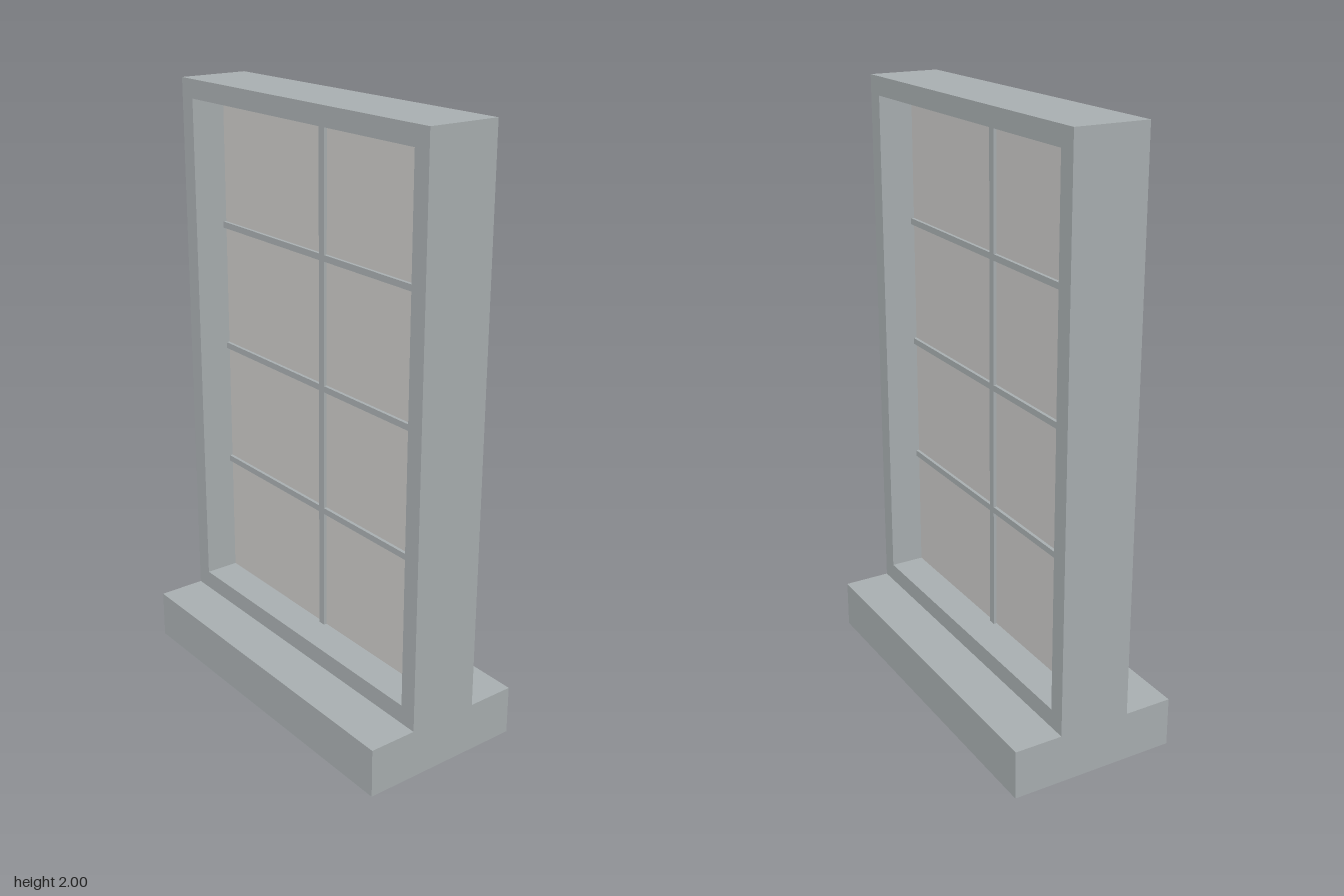
import * as THREE from 'three';

export function createModel() {
  const frameGrey = new THREE.MeshStandardMaterial({ color: 0xa8aeb0 });
  frameGrey.name = 'frame grey';
  const paneGrey = new THREE.MeshStandardMaterial({ color: 0xc9c8c6 });
  paneGrey.name = 'pane grey';

  const halfW = 0.606, sillTop = 0.165, top = 2;
  const open = { x: 0.547, bottom: 0.228, top: 1.938 };
  const openH = open.top - open.bottom;
  const midY = (open.top + open.bottom) / 2;

  const group = new THREE.Group();
  group.name = 'window';

  const add = (name, geometry, material, x, y, z, parent = group) => {
    const mesh = new THREE.Mesh(geometry, material);
    mesh.name = name;
    mesh.position.set(x, y, z);
    parent.add(mesh);
    return mesh;
  };
  const box = (w, h, d) => new THREE.BoxGeometry(w, h, d);

  // Sill, projecting on both sides of the wall
  add('sill', box(halfW * 2, sillTop, 0.566), frameGrey, 0, sillTop / 2, 0);

  // Deep outer frame with a rectangular opening
  const rect = (path, x, y0, y1) =>
    path.moveTo(-x, y0).lineTo(x, y0).lineTo(x, y1).lineTo(-x, y1).closePath();
  const outline = rect(new THREE.Shape(), halfW, sillTop, top);
  outline.holes.push(rect(new THREE.Path(), open.x, open.bottom, open.top));
  const frameDepth = 0.242;
  const frameGeometry = new THREE.ExtrudeGeometry(outline, { depth: frameDepth, bevelEnabled: false });
  add('outerFrame', frameGeometry, frameGrey, 0, 0, -frameDepth / 2);

  // Pane in the middle of the frame
  add('pane', box(open.x * 2, openH, 0.008), paneGrey, 0, midY, 0);

  // Glazing bars: one upright, three rows of crossbars meeting it
  const bars = new THREE.Group();
  bars.name = 'glazingBars';
  group.add(bars);
  const barW = 0.026, barH = 0.021, barDepth = 0.03;
  add('uprightBar', box(barW, openH, barDepth), frameGrey, 0, midY, 0, bars);
  const crossLength = open.x - barW / 2;
  for (let row = 1; row <= 3; row++) {
    for (const side of [-1, 1]) {
      add('crossbar', box(crossLength, barH, barDepth), frameGrey,
        side * (barW + crossLength) / 2, open.bottom + (openH * row) / 4, 0, bars);
    }
  }

  return group;
}
